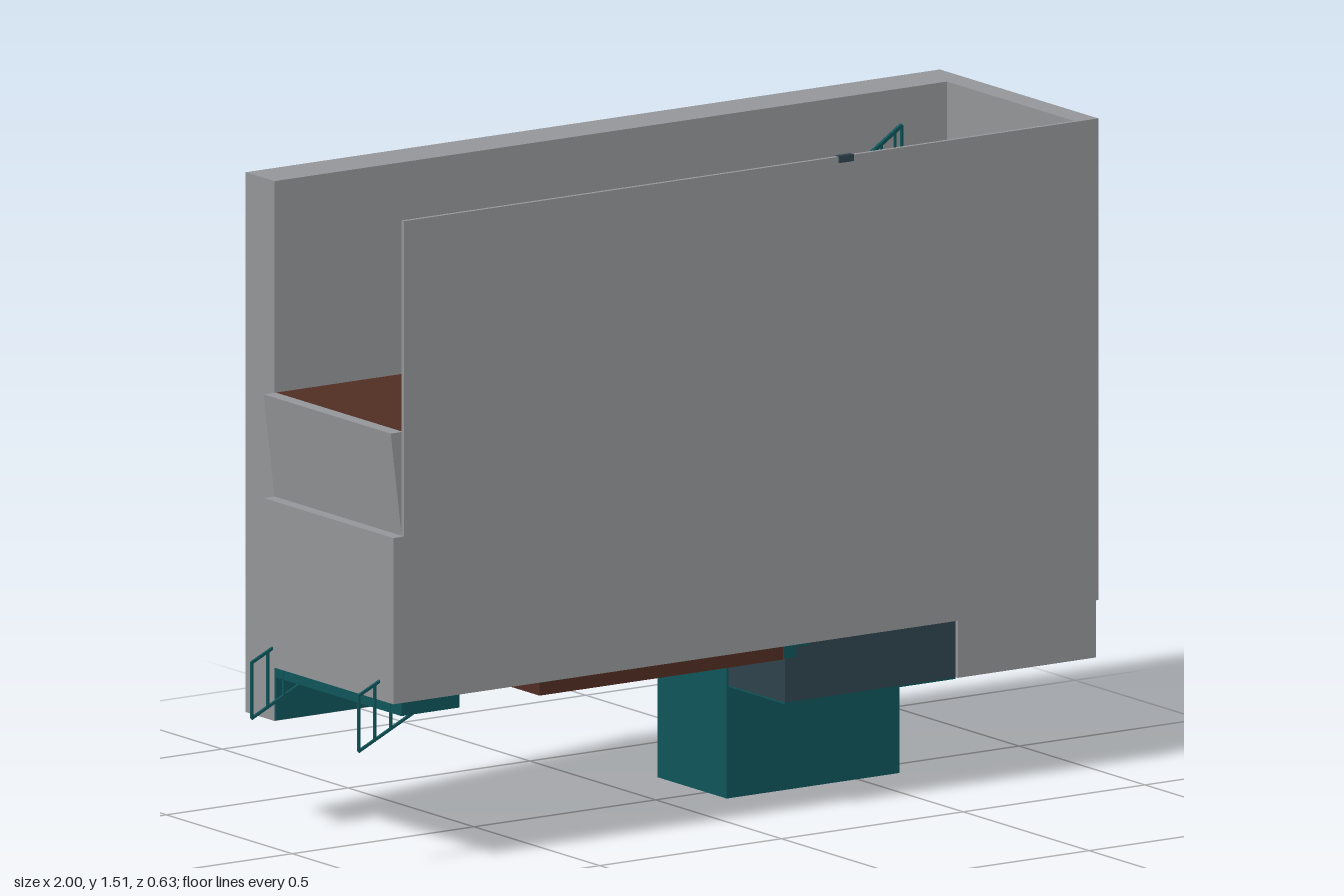
import * as THREE from 'three';

const mat = (name, color) => Object.assign(new THREE.MeshStandardMaterial({ color }), { name });

export function createModel() {
  const root = new THREE.Group();
  const gray = mat('wallGray', 0x949598);
  const teal = mat('teal', 0x0f5459);
  const slate = mat('slate', 0x2f424c);
  const brown = mat('floorBrown', 0x502d23);
  const pale = mat('windowPale', 0xd0d0ce);

  // Box given by its lower and upper bounds
  const box = (name, m, x0, x1, y0, y1, z0, z1, parent = root) => {
    const mesh = new THREE.Mesh(new THREE.BoxGeometry(x1 - x0, y1 - y0, z1 - z0), m);
    mesh.position.set((x0 + x1) / 2, (y0 + y1) / 2, (z0 + z1) / 2);
    mesh.name = name;
    parent.add(mesh);
    return mesh;
  };
  // Thin square bar between two points in a plane of constant z
  const bar = (name, ax, ay, bx, by, z, parent, t = 0.006) => {
    const len = Math.hypot(bx - ax, by - ay);
    const mesh = new THREE.Mesh(new THREE.BoxGeometry(len, t, t), teal);
    mesh.position.set((ax + bx) / 2, (ay + by) / 2, z);
    mesh.rotation.z = Math.atan2(by - ay, bx - ax);
    mesh.name = name;
    parent.add(mesh);
  };

  // Outer walls
  box('backWall', gray, -0.91, 1, 0.26, 1.51, -0.315, -0.2);
  box('frontWall', gray, -0.91, 1, 0.395, 1.51, 0.305, 0.315);
  box('rightWallLower', gray, 0.94, 1, 0.395, 0.92, -0.2, 0.305);
  box('rightWallUpper', gray, 0.94, 1, 1.13, 1.51, -0.2, 0.305);
  box('rightWallBack', gray, 0.94, 1, 0.92, 1.13, -0.2, -0.04);
  box('rightWallFront', gray, 0.94, 1, 0.92, 1.13, 0.13, 0.305);
  box('stairwellBase', gray, 0.62, 1, 0.26, 0.395, -0.2, 0.305);
  box('wallLamp', slate, 0.285, 0.325, 1.496, 1.512, 0.304, 0.318);

  // Window set into the right wall
  const win = new THREE.Group();
  win.name = 'window';
  root.add(win);
  box('pane', pale, 0.955, 0.965, 0.92, 1.13, -0.04, 0.13, win);
  for (const [z0, z1] of [[-0.04, -0.03], [0.036, 0.052], [0.12, 0.13]])
    box('frameUpright', pale, 0.965, 0.977, 0.92, 1.13, z0, z1, win);
  for (const y of [0.92, 1.12]) box('frameRail', pale, 0.965, 0.977, y, y + 0.01, -0.04, 0.13, win);

  // Left end: low wall with a leaning panel above it
  box('leftLowWall', gray, -0.94, -0.91, 0.395, 0.78, -0.2, 0.315);
  const wedge = new THREE.Shape([[-0.91, 0.78], [-0.906, 0.78], [-0.906, 1.02], [-0.94, 1.02]]
    .map(([x, y]) => new THREE.Vector2(x, y)));
  const panel = new THREE.Mesh(new THREE.ExtrudeGeometry(wedge, { depth: 0.505, bevelEnabled: false }), gray);
  panel.position.z = -0.2;
  panel.name = 'leaningPanel';
  root.add(panel);

  // Floors and interior lining
  box('upperFloor', brown, -0.905, 0.14, 0.985, 1.02, -0.2, 0.305);
  box('lowerFloor', brown, -0.53, 0.14, 0.362, 0.397, -0.2, 0.304);
  box('entrySlab', teal, -0.91, -0.75, 0.362, 0.397, -0.2, 0.304);
  box('liningLeft', teal, -0.91, -0.24, 0.262, 0.985, -0.2, -0.195);
  box('liningRight', teal, -0.17, 0.14, 0.262, 0.985, -0.2, -0.195);
  box('landing', gray, 0.62, 0.94, 0.68, 0.71, -0.2, 0.305);

  // Basement stair block
  const base = new THREE.Group();
  base.name = 'basement';
  root.add(base);
  box('core', slate, 0.145, 0.615, 0, 0.395, -0.16, 0.05, base);
  box('frontSide', teal, 0.145, 0.615, 0, 0.395, 0.05, 0.08, base);
  box('backSide', teal, 0.145, 0.615, 0, 0.395, -0.19, -0.16, base);
  box('backFace', slate, 0.145, 0.615, 0.002, 0.395, -0.195, -0.19, base);
  box('leftFace', teal, 0.14, 0.145, 0, 0.36, -0.195, 0.08, base);
  box('stairFoot', slate, 0.145, 0.615, 0.262, 0.395, 0.08, 0.304, base);
  box('stairFootUnderside', teal, 0.145, 0.615, 0.258, 0.262, 0.08, 0.303, base);

  // Flights of stairs, with a stringer and a railing on the open side
  const steps = 13, x0 = 0.14, run = 0.48 / steps, rise = 0.31 / steps;
  const flight = (name, y0, dir, z0, z1, railZ) => {
    const g = new THREE.Group();
    g.name = name;
    root.add(g);
    for (let i = 0; i < steps; i++) {
      const x = dir > 0 ? x0 + i * run : x0 + (steps - 1 - i) * run;
      const y = y0 + (i + 1) * rise;
      box('step', teal, x, x + run, y - 0.06, y - 0.004, z0, z1, g);
      box('tread', slate, x, x + run - 0.002, y - 0.004, y, z0 + 0.012, z1 - 0.012, g);
      bar('baluster', x + run / 2, y, x + run / 2, y + 0.155, railZ, g, 0.005);
    }
    const [xa, xb] = dir > 0 ? [x0, x0 + 0.48] : [x0 + 0.48, x0];
    bar('handrail', xa, y0 + 0.17, xb, y0 + 0.48, railZ, g, 0.008);
    bar('endPost', xb, y0 + 0.31, xb, y0 + 0.48, railZ, g);
    bar('stringer', xa, y0, xb, y0 + 0.3, railZ, g, 0.014);
  };
  flight('lowerFlight', 0.4, 1, 0.09, 0.305, 0.082);
  flight('middleFlight', 0.71, -1, -0.2, 0.02, 0.028);
  flight('upperFlight', 1.02, 1, 0.09, 0.305, 0.082);

  // Sloping entry handrails at the left end
  for (const z of [-0.165, 0.26]) {
    const g = new THREE.Group();
    g.name = 'entryRail';
    root.add(g);
    bar('topRail', -0.998, 0.412, -0.9, 0.457, z, g);
    bar('bottomRail', -0.998, 0.283, -0.76, 0.395, z, g);
    for (const x of [-0.997, -0.953, -0.909]) {
      const y = 0.283 + (x + 0.997) * 0.47;
      bar('post', x, y, x, y + 0.13, z, g);
    }
  }
  return root;
}
